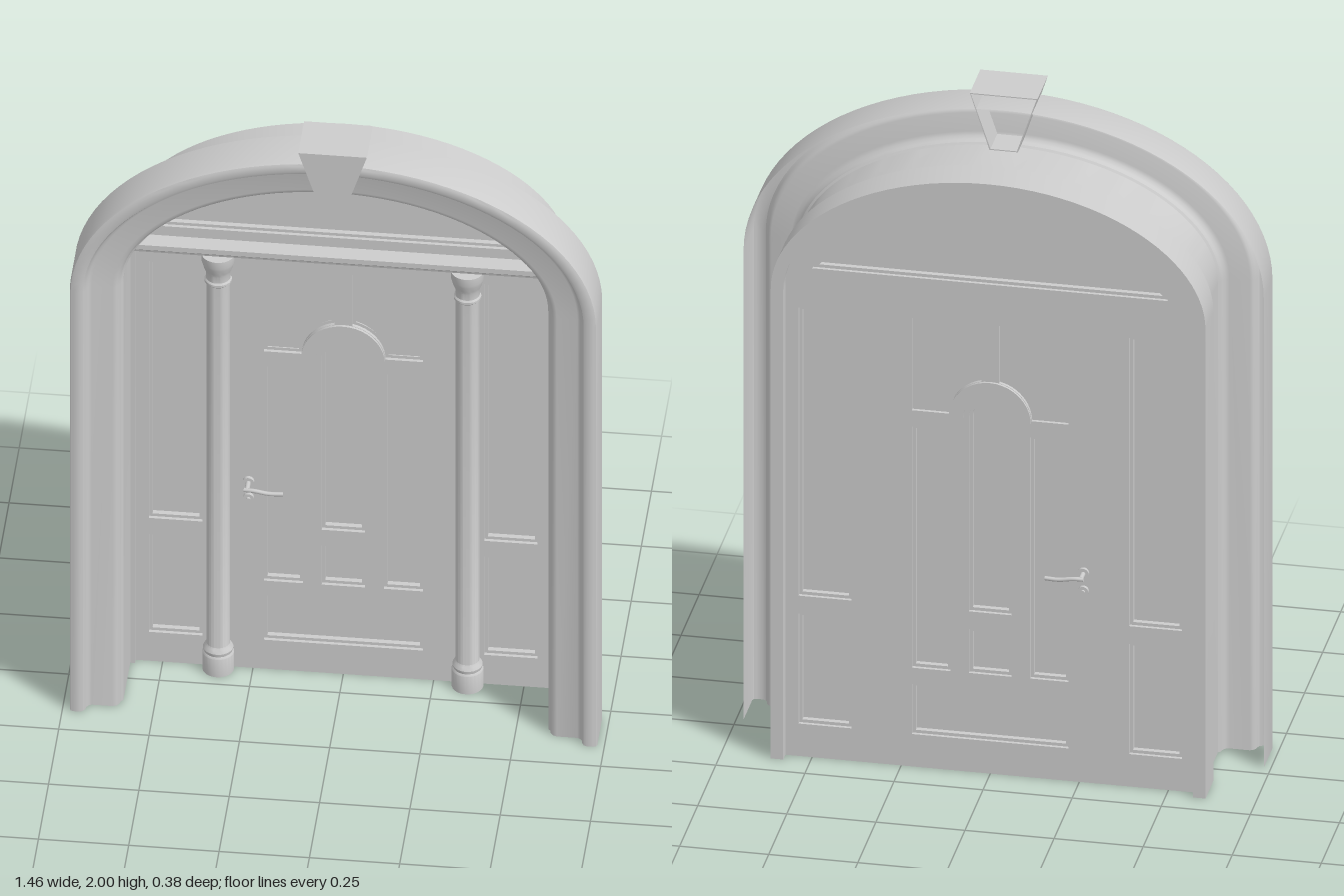
import * as THREE from 'three';
import { toCreasedNormals } from 'three/addons/utils/BufferGeometryUtils.js';

const material = new THREE.MeshStandardMaterial({ color: 0xcccccc });
const openMaterial = new THREE.MeshStandardMaterial({ color: 0xcccccc, side: THREE.DoubleSide });
const SPRING = 1.45, HALF = 0.73, RISE = 0.505;
const FRONT = -0.085, BACK = -0.15; // faces of the door wall

// Outline of the arch, offset inwards from the outer edge to half width w
function archOutline(w, segments = 48) {
  const d = HALF - w, points = [new THREE.Vector2(w, 0)];
  for (let i = 0; i <= segments; i++) {
    const a = (i / segments) * Math.PI, c = Math.cos(a), s = Math.sin(a);
    const n = new THREE.Vector2(c / HALF, s / RISE).normalize();
    points.push(new THREE.Vector2(HALF * c - n.x * d, SPRING + RISE * s - n.y * d));
  }
  points.push(new THREE.Vector2(-w, 0));
  return points;
}

// Sweep a [half width, z] profile around the arch
function archSweep(profile) {
  const rails = profile.map(([w]) => archOutline(w));
  const rows = rails[0].length, cols = profile.length, pos = [], index = [];
  for (let j = 0; j < rows; j++)
    for (let i = 0; i < cols; i++) pos.push(rails[i][j].x, rails[i][j].y, profile[i][1]);
  for (let j = 0; j < rows - 1; j++)
    for (let i = 0; i < cols - 1; i++) {
      const a = j * cols + i, b = a + cols;
      index.push(a, b, a + 1, b, b + 1, a + 1);
    }
  const g = new THREE.BufferGeometry();
  g.setAttribute('position', new THREE.Float32BufferAttribute(pos, 3));
  g.setIndex(index);
  return toCreasedNormals(g, 0.6);
}

function slab(points, holes, z0, z1) {
  const shape = new THREE.Shape(points);
  holes.forEach((h) => shape.holes.push(new THREE.Path(h)));
  const g = new THREE.ExtrudeGeometry(shape, { depth: z1 - z0, bevelEnabled: false });
  g.translate(0, 0, z0);
  return toCreasedNormals(g, 0.5);
}

const v = (x, y) => new THREE.Vector2(x, y);
function arc(cx, cy, r, a0, a1, n = 20) {
  return Array.from({ length: n + 1 }, (_, i) => {
    const a = a0 + ((a1 - a0) * i) / n;
    return v(cx + r * Math.cos(a), cy + r * Math.sin(a));
  });
}

// Panel outlines: each takes an inset d
const rect = (x0, y0, x1, y1) => (d) =>
  [v(x0 + d, y0 + d), v(x1 - d, y0 + d), v(x1 - d, y1 - d), v(x0 + d, y1 - d)];
const mirrored = (outline) => (d) => outline(d).map((p) => v(-p.x, p.y)).reverse();
const RING_Y = 1.095;

const upperPanel = (d) => {
  const r = 0.116 + d, bottom = 1.1 + d, left = 0.025 + d;
  return [v(0.22 - d, bottom), v(0.22 - d, 1.385 - d), v(left, 1.385 - d),
    ...arc(0, RING_Y, r, Math.acos(left / r), Math.asin((bottom - RING_Y) / r), 12)].reverse();
};
const archedLight = (d) =>
  [v(-0.06 + d, 0.495 + d), v(0.06 - d, 0.495 + d), ...arc(0, RING_Y, 0.06 - d, 0, Math.PI)];
const fanlight = (d) => {
  const r = 0.633 - d, cy = 1.122, a = Math.asin((1.51 + d - cy) / r);
  return arc(0, cy, r, a, Math.PI - a, 32);
};

export function createModel() {
  const model = new THREE.Group();
  const add = (name, geometry, parent = model, mat = material) => {
    const mesh = new THREE.Mesh(geometry, mat);
    mesh.name = name;
    parent.add(mesh);
    return mesh;
  };

  // Hollow moulded casing running into the reveal
  add('archCasing', archSweep([
    [0.73, 0.035], [0.73, 0.155], [0.727, 0.162], [0.72, 0.165], [0.702, 0.165], [0.693, 0.161],
    [0.688, 0.152], [0.686, 0.142], [0.68, 0.134], [0.672, 0.13], [0.615, 0.13], [0.604, 0.126],
    [0.597, 0.117], [0.594, 0.105], [0.588, 0.1], [0.588, -0.07]]), model, openMaterial);

  // Door frame behind the reveal, with end caps at the floor
  add('doorFrame', archSweep([[0.61, -0.18], [0.61, -0.07], [0.575, -0.07], [0.575, -0.18], [0.61, -0.18]]),
    model, openMaterial);
  for (const s of [-1, 1]) {
    const cap = add('frameFoot', new THREE.PlaneGeometry(0.035, 0.11), model, openMaterial);
    cap.rotation.x = Math.PI / 2;
    cap.position.set(s * 0.5925, 0.0005, -0.125);
  }

  // Keystone: open-backed shell with a front plate
  const wedge = (d) => [v(-0.04 + d, 1.83 + d), v(0.04 - d, 1.83 + d), v(0.095 - d, 2 - d), v(-0.095 + d, 2 - d)];
  const keystone = new THREE.Group();
  keystone.name = 'keystone';
  model.add(keystone);
  add('keystoneSides', slab(wedge(0), [wedge(0.003)], 0.035, 0.165), keystone);
  add('keystoneFront', slab(wedge(0), [], 0.165, 0.18), keystone);

  // Panels and lights
  const tall = rect(0.112, 0.305, 0.22, 1.05);
  const sideTop = rect(0.39, 0.495, 0.538, 1.385);
  const sideLow = rect(0.39, 0.1, 0.538, 0.44);
  const openings = [
    ['fanlight', fanlight], ['archedLight', archedLight],
    ['smallPanel', rect(-0.06, 0.305, 0.06, 0.44)], ['bottomPanel', rect(-0.22, 0.1, 0.22, 0.255)],
  ];
  for (const [name, o] of [['upperPanel', upperPanel], ['tallPanel', tall], ['sidelight', sideTop], ['sidePanel', sideLow]])
    openings.push([name + 'Left', o], [name + 'Right', mirrored(o)]);

  add('doorWall', slab(archOutline(0.577), openings.map(([, o]) => o(0)), BACK, FRONT));
  for (const [name, o] of openings) {
    add(name, slab(o(0), [], -0.125, -0.11));
    add(name + 'Moulding', slab(o(0), [o(0.009)], BACK + 0.01, FRONT - 0.01));
  }

  // Raised half ring above the arched light
  add('archRing', slab([...arc(0, RING_Y, 0.115, 0, Math.PI), ...arc(0, RING_Y, 0.075, Math.PI, 0)],
    [], BACK - 0.008, FRONT + 0.008));

  // Transom cornice, profile drawn as (z, y)
  const cornice = new THREE.ExtrudeGeometry(new THREE.Shape([
    v(-0.09, 1.438), v(-0.058, 1.438), v(-0.055, 1.448), v(-0.044, 1.454),
    v(-0.035, 1.462), v(-0.035, 1.478), v(-0.09, 1.478)]), { depth: 1.184, bevelEnabled: false });
  cornice.rotateY(-Math.PI / 2);
  cornice.translate(0.592, 0, 0);
  add('transomCornice', cornice);

  // Columns flanking the door leaf
  const column = toCreasedNormals(new THREE.LatheGeometry([
    [0, 0], [0.044, 0], [0.044, 0.06], [0.04, 0.066], [0.042, 0.076], [0.037, 0.086], [0.033, 0.092],
    [0.033, 1.34], [0.038, 1.345], [0.038, 1.352], [0.034, 1.357], [0.034, 1.378], [0.039, 1.39],
    [0.043, 1.405], [0.046, 1.415], [0.046, 1.438], [0, 1.438]].map(([x, y]) => v(x, y)), 24), 0.6);
  for (const s of [-1, 1]) add(s > 0 ? 'columnLeft' : 'columnRight', column).position.set(s * 0.345, 0, -0.075);

  // Lever handles and key plates on both faces
  for (const [side, z, s] of [['front', FRONT, 1], ['back', BACK, -1]]) {
    const handle = new THREE.Group();
    handle.name = side + 'Handle';
    handle.position.set(-0.262, 0.648, z);
    model.add(handle);
    const disc = (name, r, length, y, zc) => {
      const m = add(name, new THREE.CylinderGeometry(r, r, length, 20), handle);
      m.rotation.x = Math.PI / 2;
      m.position.set(0, y, s * zc);
    };
    disc('rose', 0.016, 0.01, 0, 0.005);
    disc('neck', 0.007, 0.04, 0, 0.025);
    disc('keyPlate', 0.015, 0.01, -0.055, 0.005);
    disc('keyCylinder', 0.006, 0.016, -0.055, 0.008);
    const path = new THREE.CatmullRomCurve3([[-0.008, 0, 0.043], [0.02, 0.001, 0.046], [0.06, -0.006, 0.045], [0.1, -0.006, 0.043]]
      .map(([x, y, d]) => new THREE.Vector3(x, y, s * d)));
    add('lever', new THREE.TubeGeometry(path, 16, 0.006, 10), handle, openMaterial);
  }
  return model;
}
